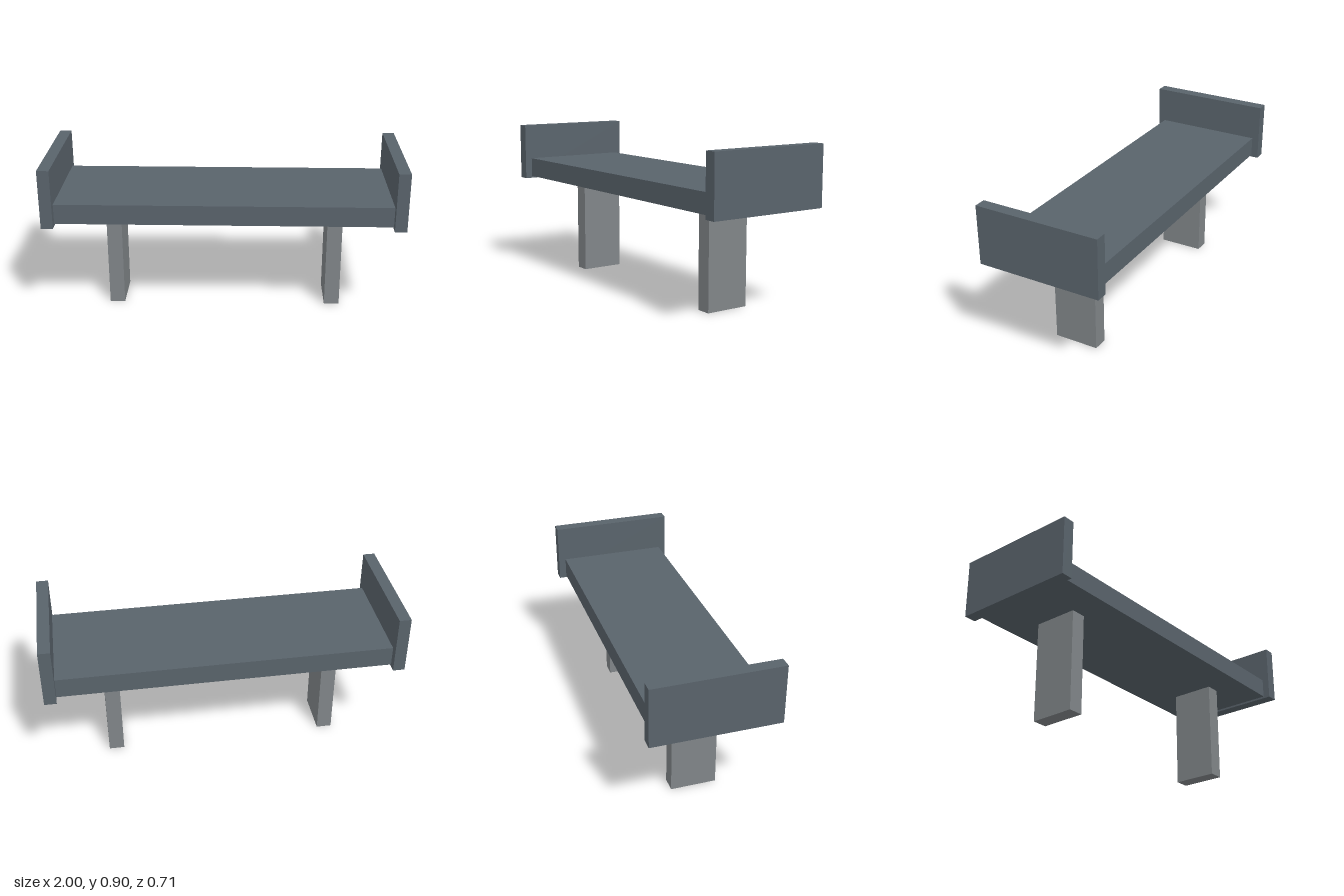
import * as THREE from 'three';

const slate = new THREE.MeshStandardMaterial({ name: 'slate', color: 0x59636b });
const grey = new THREE.MeshStandardMaterial({ name: 'grey', color: 0x808588 });

// Box given its size, centre x and the height of its underside
function block(name, material, width, height, depth, x, bottom) {
  const mesh = new THREE.Mesh(new THREE.BoxGeometry(width, height, depth), material);
  mesh.name = name;
  mesh.position.set(x, bottom + height / 2, 0);
  return mesh;
}

export function createModel() {
  const bench = new THREE.Group();
  bench.name = 'bench';

  // Seat slab between the end panels
  bench.add(block('seat', slate, 1.866, 0.114, 0.628, 0, 0.574));

  // End panels and slab legs, mirrored
  for (const [side, s] of [['left', 1], ['right', -1]]) {
    bench.add(block(side + 'EndPanel', slate, 0.067, 0.336, 0.711, s * 0.9665, 0.562));
    bench.add(block(side + 'Leg', grey, 0.086, 0.574, 0.256, s * 0.63, 0));
  }
  return bench;
}
